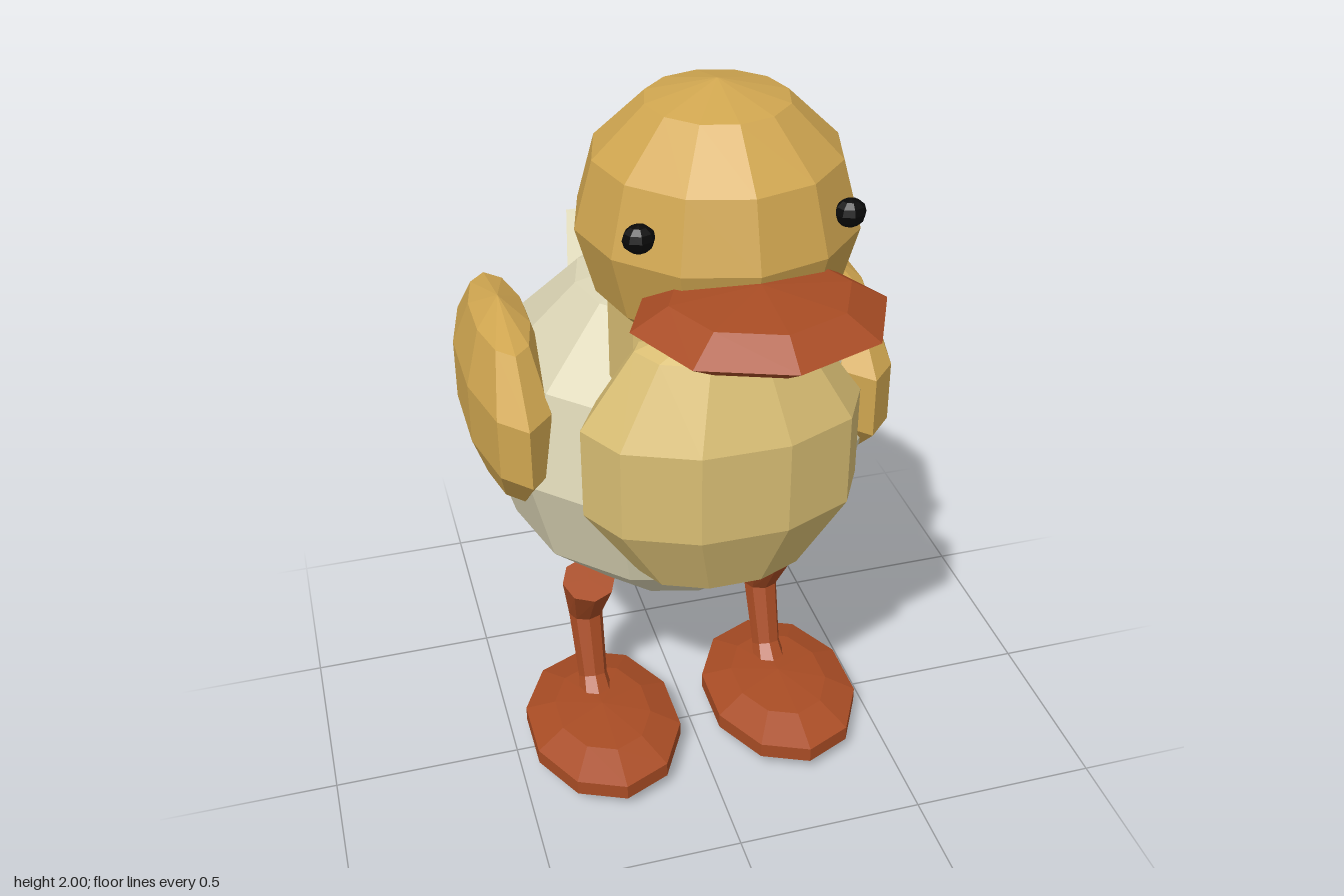
import * as THREE from 'three';
import { ConvexGeometry } from 'three/addons/geometries/ConvexGeometry.js';

const paint = (name, color) => {
  const m = new THREE.MeshStandardMaterial({ color, flatShading: true });
  m.name = name;
  return m;
};

export function createModel() {
  const duck = new THREE.Group();
  duck.name = 'duckling';

  const gold = paint('golden down', 0xd0a650);
  const straw = paint('pale yellow down', 0xd9be74);
  const cream = paint('cream down', 0xd9d3b3);
  const orange = paint('burnt orange', 0xa84c24);
  const black = paint('black', 0x090909);

  const add = (name, geometry, material, parent = duck) => {
    const mesh = new THREE.Mesh(geometry, material);
    mesh.name = name;
    parent.add(mesh);
    return mesh;
  };

  // Low-poly ellipsoid; turned puts a corner, not a flat, at the front
  const blob = (name, material, pos, radii, cols, rows, turned = false, parent = duck) => {
    const g = new THREE.SphereGeometry(1, cols, rows);
    if (turned) g.rotateY(Math.PI / 2);
    g.scale(...radii).translate(...pos);
    return add(name, g, material, parent);
  };

  // Torso and head
  blob('body', cream, [0, 0.953, -0.145], [0.5, 0.478, 0.495], 12, 6);
  blob('chest', straw, [0, 1.1, 0.29], [0.358, 0.38, 0.21], 10, 5);
  blob('head', gold, [0, 1.69, 0.22], [0.32, 0.31, 0.325], 12, 6);
  blob('beak', orange, [0, 1.605, 0.545], [0.28, 0.07, 0.255], 8, 4);

  // Neck
  const neckProfile = [[0.23, 1.15], [0.23, 1.38], [0.23, 1.52], [0.185, 1.585], [0, 1.62]]
    .map(([r, y]) => new THREE.Vector2(r, y));
  add('neck', new THREE.LatheGeometry(neckProfile, 12).translate(0, 0, 0.125), straw);

  // Upturned wedge tail
  const tail = [
    [-0.185, 1.07, -0.575], [0.185, 1.07, -0.575],
    [-0.135, 1.25, -0.8], [0.135, 1.25, -0.8],
    [0, 0.935, -0.665],
  ].map((p) => new THREE.Vector3(...p));
  add('tail', new ConvexGeometry(tail), cream);

  // Leg rings from ankle to hip: height, depth, radius, tilt
  const rings = [
    [0.1, -0.045, 0.05, 0.5],
    [0.15, -0.09, 0.04, 0.5],
    [0.325, -0.155, 0.047, 0.1],
    [0.485, -0.09, 0.073, -0.34],
  ];
  const legGeometry = () => {
    const g = new THREE.CylinderGeometry(1, 1, 3, 8, 3);
    const p = g.attributes.position;
    for (let i = 0; i < p.count; i++) {
      const [y, z, r, tilt] = rings[Math.round(p.getY(i) + 1.5)];
      const d = p.getZ(i) * r;
      p.setXYZ(i, p.getX(i) * r, y + d * Math.sin(tilt), z + d * Math.cos(tilt));
    }
    g.computeVertexNormals();
    return g;
  };

  // Paired parts
  for (const [side, s] of [['left', 1], ['right', -1]]) {
    blob(side + 'Eye', black, [s * 0.23, 1.757, 0.435], [0.036, 0.032, 0.03], 8, 6);
    blob(side + 'Wing', gold, [s * 0.435, 1.07, -0.2], [0.118, 0.26, 0.385], 10, 5, true);

    const limb = new THREE.Group();
    limb.name = side + 'Limb';
    limb.position.x = s * 0.257;
    duck.add(limb);
    add(side + 'Leg', legGeometry(), orange, limb);
    blob(side + 'Foot', orange, [0, 0.069, 0.025], [0.221, 0.069, 0.3], 10, 5, true, limb);
  }

  return duck;
}
